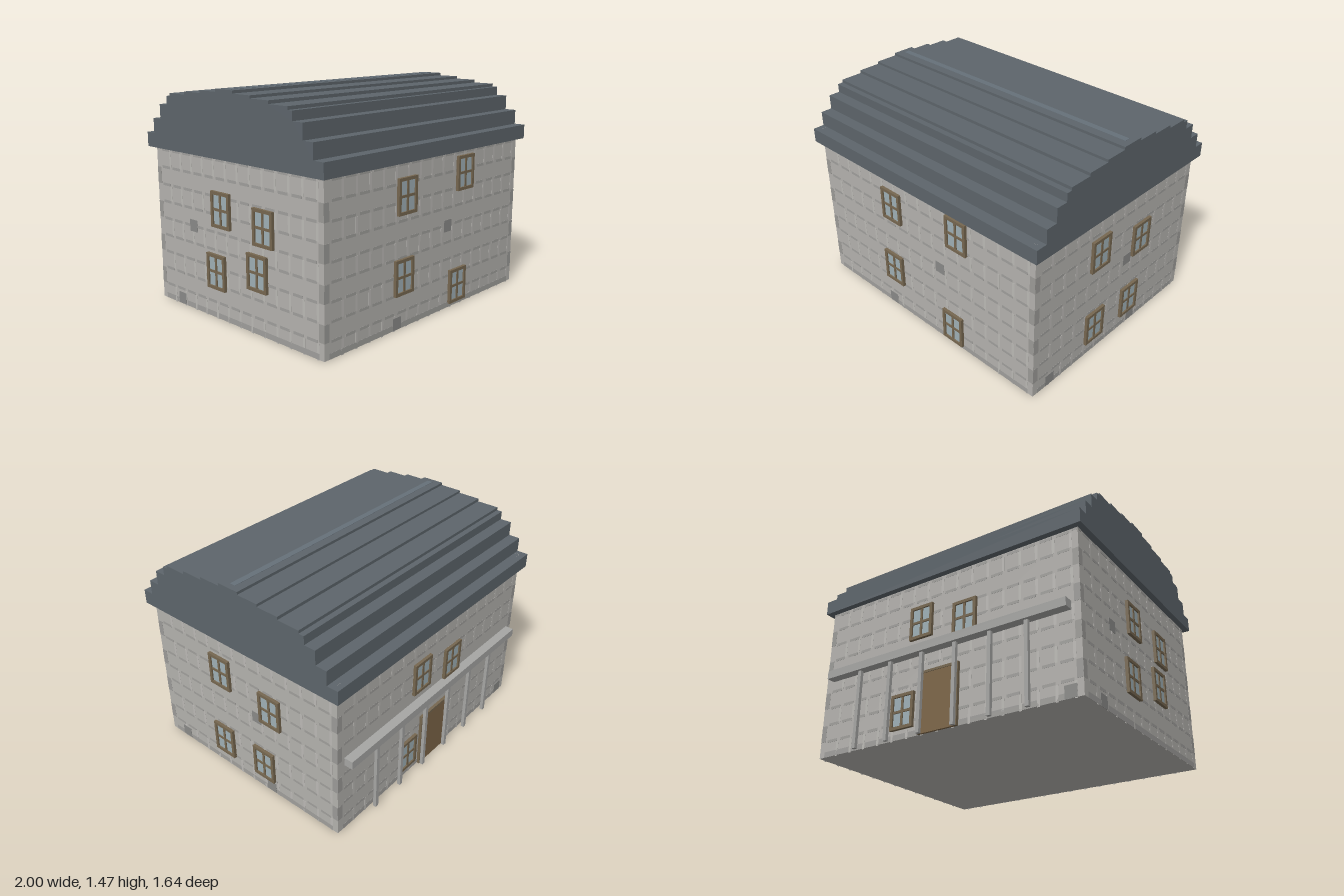
import * as THREE from 'three';
import { mergeGeometries } from 'three/addons/utils/BufferGeometryUtils.js';

const mat = (color) => new THREE.MeshStandardMaterial({ color });
const MATS = {
  wall: mat(0xb4b2ae), course: mat(0xa09f9c), joint: mat(0xbcbab6), quoin: mat(0x9c9b98),
  patch: mat(0x8a8a88), roof: mat(0x5d656b), ridge: mat(0x667079), frame: mat(0x766750),
  glass: mat(0x9fb0b6), door: mat(0x7d6648), post: mat(0xa6a6a4),
};
const CZ = 0.01; // the building's middle in z
const HX = 0.96, HZ = 0.77, WALL_H = 1.04;

// box geometry centred at x, y, z
const box = (w, h, d, x, y, z) => new THREE.BoxGeometry(w, h, d).translate(x, y, z);

function add(parent, name, material, geometries) {
  const mesh = new THREE.Mesh(mergeGeometries(geometries), material);
  mesh.name = name;
  parent.add(mesh);
  return mesh;
}

// four-pane window, standing 0.02 out of the wall plane z = 0
function makeWindow(x, y) {
  const g = new THREE.Group();
  g.name = 'window';
  const w = 0.174, h = 0.228, b = 0.02, d = 0.02;
  const bars = [box(0.016, h - b, 0.016, 0, 0, 0.008), box(w - b, 0.016, 0.016, 0, 0, 0.008)];
  for (const s of [-1, 1]) {
    bars.push(box(b, h, d, s * (w - b) / 2, 0, d / 2));
    bars.push(box(w - 2 * b, b, d, 0, s * (h - b) / 2, d / 2));
  }
  add(g, 'windowFrame', MATS.frame, bars);
  add(g, 'windowGlass', MATS.glass, [box(w - b, h - b, 0.01, 0, 0, 0.005)]);
  g.position.set(x, y, 0);
  return g;
}

// stonework and windows of one wall, in local x (sideways), y (up), z (outwards)
function makeFacade({ name, half, turn, windows, patches }) {
  const g = new THREE.Group();
  g.name = name;
  const courses = [], joints = [], quoins = [];
  const inner = half - 0.04, n = Math.round(2 * inner / 0.115), step = 2 * inner / n;
  for (let r = 0; r < 9; r++) {
    const y = 0.115 * (r + 1) - 0.01;
    for (let i = 0; i < n; i++) {
      const x = -inner + (i + 0.5) * step;
      courses.push(box(step * 0.72, 0.018, 0.002, x, y, 0));
      if (r % 2 === 0) joints.push(box(0.018, 0.1, 0.002, x + step / 2 - 0.009, y - 0.06, 0));
    }
    if (r % 2 === 0) {
      for (const s of [-1, 1]) quoins.push(box(0.04, 0.11, 0.002, s * (half - 0.02), y + 0.055, 0));
    }
  }
  courses.push(box(2 * inner, 0.036, 0.002, 0, 0.018, 0));
  add(g, 'stoneCourses', MATS.course, courses);
  add(g, 'stoneJoints', MATS.joint, joints);
  add(g, 'cornerStones', MATS.quoin, quoins);
  add(g, 'darkStones', MATS.patch, patches.map(([x, y]) => box(0.078, 0.078, 0.004, x, y, 0)));
  for (const [x, y] of windows) g.add(makeWindow(x, y));
  const out = turn % 2 ? HX : HZ;
  g.rotation.y = turn * Math.PI / 2;
  g.position.set(Math.sin(g.rotation.y) * out, 0, CZ + Math.cos(g.rotation.y) * out);
  return g;
}

// stepped barrel roof: half depth and top of each tier
function makeRoof() {
  const g = new THREE.Group();
  g.name = 'roof';
  const tiers = [[0.81, 1.135], [0.733, 1.232], [0.655, 1.328], [0.577, 1.385],
    [0.54, 1.405], [0.385, 1.425], [0.23, 1.442], [0.0775, 1.46]];
  const right = [], left = [];
  let y = WALL_H;
  for (const [hz, top] of tiers) {
    right.push([hz, y], [hz, top]);
    left.unshift([-hz, top], [-hz, y]);
    y = top;
  }
  const shape = new THREE.Shape([...right, ...left].map(([a, b]) => new THREE.Vector2(a, b)));
  const geo = new THREE.ExtrudeGeometry(shape, { depth: 2, bevelEnabled: false });
  geo.translate(0, 0, -1).rotateY(Math.PI / 2);
  add(g, 'roofTiers', MATS.roof, [geo]);
  add(g, 'ridgeStrip', MATS.ridge, [box(1.92, 0.004, 0.04, 0, 1.46, 0)]);
  g.position.z = CZ;
  return g;
}

// door with posts and a beam along the back wall
function makePorch() {
  const g = new THREE.Group();
  g.name = 'porch';
  const back = CZ - HZ;
  add(g, 'doorPanel', MATS.door, [box(0.25, 0.385, 0.016, 0, 0.1925, back - 0.008)]);
  add(g, 'doorFrame', MATS.frame, [
    box(0.02, 0.4, 0.02, -0.135, 0.2, back - 0.01),
    box(0.02, 0.4, 0.02, 0.135, 0.2, back - 0.01),
    box(0.25, 0.016, 0.02, 0, 0.392, back - 0.01),
  ]);
  add(g, 'porchBeam', MATS.post, [box(1.8, 0.055, 0.06, 0, 0.5475, back - 0.03)]);
  const posts = [];
  for (let i = 0; i < 6; i++) posts.push(box(0.025, 0.52, 0.022, -0.63 + i * 0.252, 0.26, back - 0.031));
  add(g, 'porchPosts', MATS.post, posts);
  return g;
}

export function createModel() {
  const house = new THREE.Group();
  house.name = 'house';
  add(house, 'walls', MATS.wall, [box(2 * HX, WALL_H, 2 * HZ, 0, WALL_H / 2, CZ)]);
  const facades = [
    { name: 'frontFacade', half: HX, turn: 0,
      windows: [[-0.26, 0.833], [0.337, 0.89], [-0.28, 0.332], [0.28, 0.14]],
      patches: [[0.17, 0.56], [-0.33, 0.04]] },
    { name: 'leftFacade', half: HZ, turn: 1,
      windows: [[-0.183, 0.77], [0.24, 0.673], [-0.2, 0.21], [0.164, 0.21]],
      patches: [[0.115, 0.556], [-0.617, 0.04], [0.213, 0.04]] },
    { name: 'backFacade', half: HX, turn: 2,
      windows: [[-0.16, 0.75], [0.175, 0.688], [-0.275, 0.175]],
      patches: [[0.88, 0.04]] },
    { name: 'rightFacade', half: HZ, turn: 3,
      windows: [[-0.103, 0.717], [0.285, 0.675], [-0.164, 0.311], [0.224, 0.391]],
      patches: [[-0.395, 0.566], [-0.55, 0.04]] },
  ];
  for (const f of facades) house.add(makeFacade(f));
  house.add(makeRoof(), makePorch());
  return house;
}
